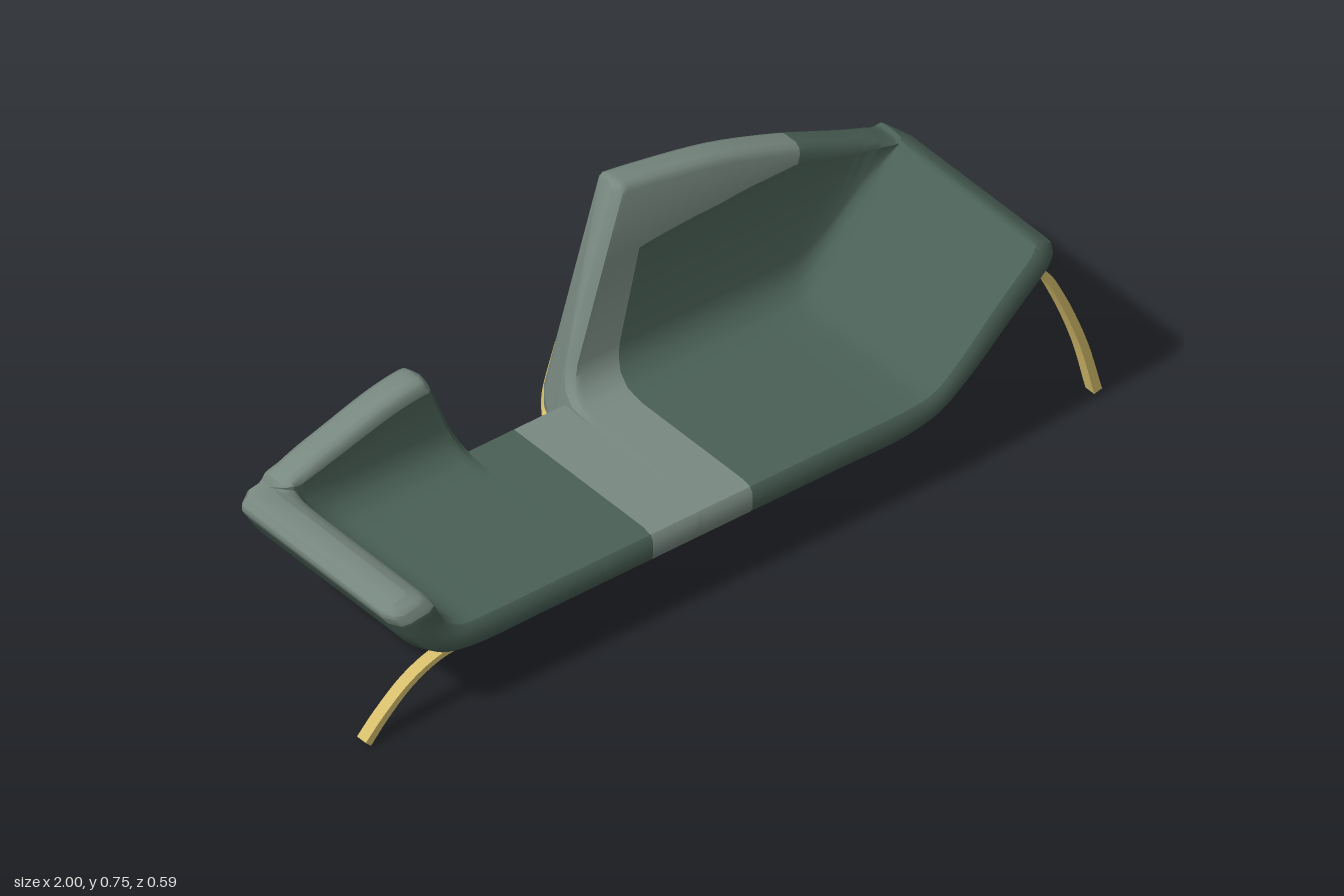
import * as THREE from 'three';
import { toCreasedNormals } from 'three/addons/utils/BufferGeometryUtils.js';

const mat = (name, color) => {
  const m = new THREE.MeshStandardMaterial({ color });
  m.name = name;
  return m;
};
const lerp = THREE.MathUtils.lerp;

// Cross-section of seat and backrest: B = underside, S = seat surface, T = top of back.
// m = colour seam height on the back, eF / eB = how far the front and back edges are rounded in.
function section({ B, S, T, m, eF, eB, zMin }) {
  const L = S.distanceTo(T), f = Math.min(0.09, 0.7 * m * L), r = Math.min(0.02, 0.8 * (1 - m) * L);
  const M = m * L;
  const slab = [[0.262, 0], [0.29, 0.12], [0.297, 0.3], [0.297, 0.75], [0.288, 0.93], [0.262, 1], [-0.08, 1]];
  const back = [[-0.13, f * 0.1], [-0.16, f * 0.35], [-0.175, f * 0.7], [-0.18, f], [-0.18, M], [-0.18, L - r],
    [-0.187, L - 0.3 * r], [-0.2, L], [-0.24, L], [-0.253, L - 0.3 * r], [-0.26, L - r], [-0.26, M], [-0.26, 0]];
  const under = [[-0.26, 0.45], [-0.24, 0.12], [-0.215, 0]];
  const place = (z, p) => {
    if (z > 0.2) z -= eF;
    if (z < -0.1) z += Math.sign(-0.22 - z) * Math.min(eB, Math.abs(-0.22 - z));
    return [p.x, p.y, Math.max(z, zMin)];
  };
  const onSlab = ([z, k]) => place(z, B.clone().lerp(S, k));
  const onBack = ([z, d]) => place(z, S.clone().lerp(T, L > 0 ? d / L : 0));
  return [...slab.map(onSlab), ...back.map(onBack), ...under.map(onSlab)];
}
const SEAM_FRONT = 11, SEAM_BACK = 18;

// Lofts sections along x; isLight(station, ring) picks the fabric of each strip.
function loft(stations, isLight, mats, { zMin = -1, caps = true, lightCaps = [false, false] } = {}) {
  const steps = 5, n = stations.length;
  const track = k => new THREE.CatmullRomCurve3(stations.map(s => new THREE.Vector3(s[k], s[k + 1], 0)));
  const [cB, cS, cT] = [0, 2, 4].map(track);
  const rings = [];
  for (let i = 0; i <= (n - 1) * steps; i++) {
    const a = Math.min(Math.floor(i / steps), n - 2), t = i / steps - a, u = i / ((n - 1) * steps);
    const num = k => lerp(stations[a][k], stations[a + 1][k], t);
    rings.push(section({ B: cB.getPoint(u), S: cS.getPoint(u), T: cT.getPoint(u), m: num(6), eF: num(7), eB: num(8), zMin }));
  }
  const w = rings[0].length, lists = [[], []];
  for (let i = 0; i < rings.length - 1; i++) {
    for (let j = 0; j < w; j++) {
      const k = (j + 1) % w, a = i * w + j, b = i * w + k, c = a + w, d = b + w;
      lists[isLight(Math.floor(i / steps), j) ? 1 : 0].push(a, c, d, a, d, b);
    }
  }
  if (caps) {
    const flat = section({ B: new THREE.Vector3(0, 0, 0), S: new THREE.Vector3(0, 0.1, 0), T: new THREE.Vector3(0, 0.5, 0),
      m: 0.8, eF: 0, eB: 0, zMin }).map(p => new THREE.Vector2(p[2], p[1]));
    for (const tri of THREE.ShapeUtils.triangulateShape(flat, [])) {
      const ccw = THREE.ShapeUtils.area(tri.map(q => flat[q])) > 0 ? tri : [...tri].reverse();
      const last = (rings.length - 1) * w;
      lists[lightCaps[0] ? 1 : 0].push(...ccw);
      lists[lightCaps[1] ? 1 : 0].push(...[...ccw].reverse().map(q => q + last));
    }
  }
  const g = new THREE.BufferGeometry();
  g.setAttribute('position', new THREE.Float32BufferAttribute(rings.flat(2), 3));
  g.setIndex([...lists[0], ...lists[1]]);
  g.addGroup(0, lists[0].length, 0);
  g.addGroup(lists[0].length, lists[1].length, 1);
  return new THREE.Mesh(toCreasedNormals(g, 0.75), mats);
}

// A bent flat bar: path in the xy plane, thickness t0..t1 along it, spanning z0..z1.
function bar(path, z0, z1, t0, t1 = t0) {
  const curve = new THREE.CatmullRomCurve3(path.map(p => new THREE.Vector3(p[0], p[1], 0)));
  const N = 36, upper = [], lower = [];
  for (let i = 0; i <= N; i++) {
    const p = curve.getPoint(i / N), d = curve.getTangent(i / N), h = lerp(t0, t1, i / N) / 2;
    upper.push(new THREE.Vector2(p.x - d.y * h, p.y + d.x * h));
    lower.push(new THREE.Vector2(p.x + d.y * h, p.y - d.x * h));
  }
  const g = new THREE.ExtrudeGeometry(new THREE.Shape([...upper, ...lower.reverse()]), { depth: z1 - z0, bevelEnabled: false });
  g.translate(0, 0, z0);
  return toCreasedNormals(g, 0.6);
}

export function createModel() {
  const dark = mat('darkGreenFabric', 0x4a6056);
  const light = mat('greyGreenFabric', 0x798a82);
  const gold = mat('brass', 0xd4bc6a);
  const group = new THREE.Group();
  const add = (name, mesh) => { mesh.name = name; group.add(mesh); return mesh; };
  const addGold = (name, g) => add(name, new THREE.Mesh(g, gold));
  const fabrics = [dark, light];
  const onTop = j => j >= SEAM_FRONT && j < SEAM_BACK;

  // Tall side: Bx, By, Sx, Sy, Tx, Ty, seam, front rounding, back rounding
  const tall = [
    [-0.12, 0.16, -0.12, 0.24, 0.035, 0.742, 0.62, 0, 0.02],
    [-0.105, 0.16, -0.105, 0.24, 0.05, 0.741, 0.62, 0, 0],
    [0.015, 0.16, 0.015, 0.24, 0.13, 0.728, 0.65, 0, 0],
    [0.25, 0.16, 0.25, 0.24, 0.33, 0.686, 0.74, 0, 0],
    [0.43, 0.16, 0.44, 0.24, 0.53, 0.617, 0.89, 0, 0],
    [0.53, 0.182, 0.51, 0.25, 0.61, 0.583, 0.9, 0, 0],
    [0.61, 0.235, 0.57, 0.293, 0.68, 0.553, 0.9, 0, 0],
    [0.72, 0.332, 0.67, 0.39, 0.75, 0.523, 0.9, 0, 0],
    [0.825, 0.425, 0.775, 0.485, 0.8, 0.502, 0.9, 0, 0],
    [0.849, 0.45, 0.793, 0.502, 0.805, 0.508, 0.9, 0.008, 0.006],
    [0.856, 0.47, 0.81, 0.501, 0.815, 0.503, 0.9, 0.025, 0.02],
  ];
  add('tallSeatAndBack', loft(tall, (i, j) => i < 2 || (i < 4 && onTop(j)), fabrics, { lightCaps: [true, false] }));

  // Low side with rolled arm
  const low = [
    [-0.948, 0.358, -0.895, 0.368, -0.893, 0.373, 0.75, 0.03, 0.025],
    [-0.957, 0.335, -0.86, 0.352, -0.87, 0.372, 0.75, 0.008, 0.006],
    [-0.945, 0.31, -0.835, 0.326, -0.855, 0.378, 0.75, 0, 0],
    [-0.9, 0.242, -0.81, 0.275, -0.83, 0.388, 0.78, 0, 0],
    [-0.83, 0.185, -0.77, 0.246, -0.79, 0.404, 0.8, 0, 0],
    [-0.74, 0.162, -0.68, 0.24, -0.72, 0.426, 0.82, 0, 0],
    [-0.55, 0.16, -0.52, 0.24, -0.58, 0.467, 0.84, 0, 0],
    [-0.41, 0.16, -0.4, 0.24, -0.495, 0.476, 0.85, 0, 0],
    [-0.385, 0.16, -0.385, 0.24, -0.475, 0.465, 0.85, 0, 0.022],
  ];
  add('lowSeatAndBack', loft(low, (i, j) => i < 2 || onTop(j), fabrics, { lightCaps: [true, false] }));

  // Open seat between the two backs
  const flat = x => [x, 0.16, x, 0.24, x, 0.24, 0.8, 0, 0];
  add('middleSeat', loft([-0.39, -0.255, -0.115].map(flat), i => i > 0, fabrics, { zMin: -0.175, caps: false }));

  // Brass tray under the seat, notched behind the open seat
  addGold('trayLeft', bar([[-0.8, 0.168], [-0.72, 0.157], [-0.6, 0.152], [-0.39, 0.152]], -0.215, 0.262, 0.011));
  addGold('trayMiddle', bar([[-0.39, 0.152], [-0.115, 0.152]], -0.175, 0.262, 0.011));
  addGold('trayRight', bar([[-0.115, 0.152], [0.2, 0.152], [0.43, 0.152], [0.53, 0.173], [0.613, 0.226], [0.723, 0.323], [0.82, 0.412]],
    -0.215, 0.262, 0.011));

  // Legs
  addGold('leftLeg', bar([[-0.99, 0.003], [-0.945, 0.05], [-0.87, 0.11], [-0.79, 0.143], [-0.7, 0.148], [-0.6, 0.145]], 0.22, 0.25, 0.02, 0.009));
  addGold('rightLeg', bar([[0.99, 0.003], [0.95, 0.15], [0.89, 0.3], [0.845, 0.38], [0.815, 0.395], [0.77, 0.358], [0.68, 0.278], [0.6, 0.205]],
    0.22, 0.25, 0.022, 0.008));
  const rear = bar([[0.284, 0.003], [0.25, 0.06], [0.215, 0.118], [0.195, 0.139], [0.165, 0.145], [0.1, 0.145]], -0.026, 0.026, 0.022, 0.009);
  const p = rear.attributes.position;
  for (let i = 0; i < p.count; i++) p.setZ(i, p.getZ(i) * lerp(1, 0.42, Math.min(p.getY(i) / 0.13, 1)));
  rear.rotateY(Math.PI / 2);
  rear.translate(-0.255, 0, 0);
  addGold('rearLeg', rear);

  // Hooked rods carrying the backs
  const rods = {
    tallBackRod: [[-0.2, 0.148, -0.14], [-0.14, 0.152, -0.2], [-0.108, 0.175, -0.252], [-0.098, 0.21, -0.263], [-0.062, 0.325, -0.264]],
    lowBackRod: [[-0.31, 0.148, -0.15], [-0.37, 0.155, -0.21], [-0.41, 0.18, -0.252], [-0.425, 0.22, -0.263], [-0.455, 0.3, -0.264]],
  };
  for (const [name, pts] of Object.entries(rods)) {
    const v = pts.map(q => new THREE.Vector3(...q));
    addGold(name, new THREE.TubeGeometry(new THREE.CatmullRomCurve3(v), 30, 0.009, 10));
    addGold(name + 'Tip', new THREE.SphereGeometry(0.009, 10, 8)).position.copy(v[v.length - 1]);
  }
  return group;
}
